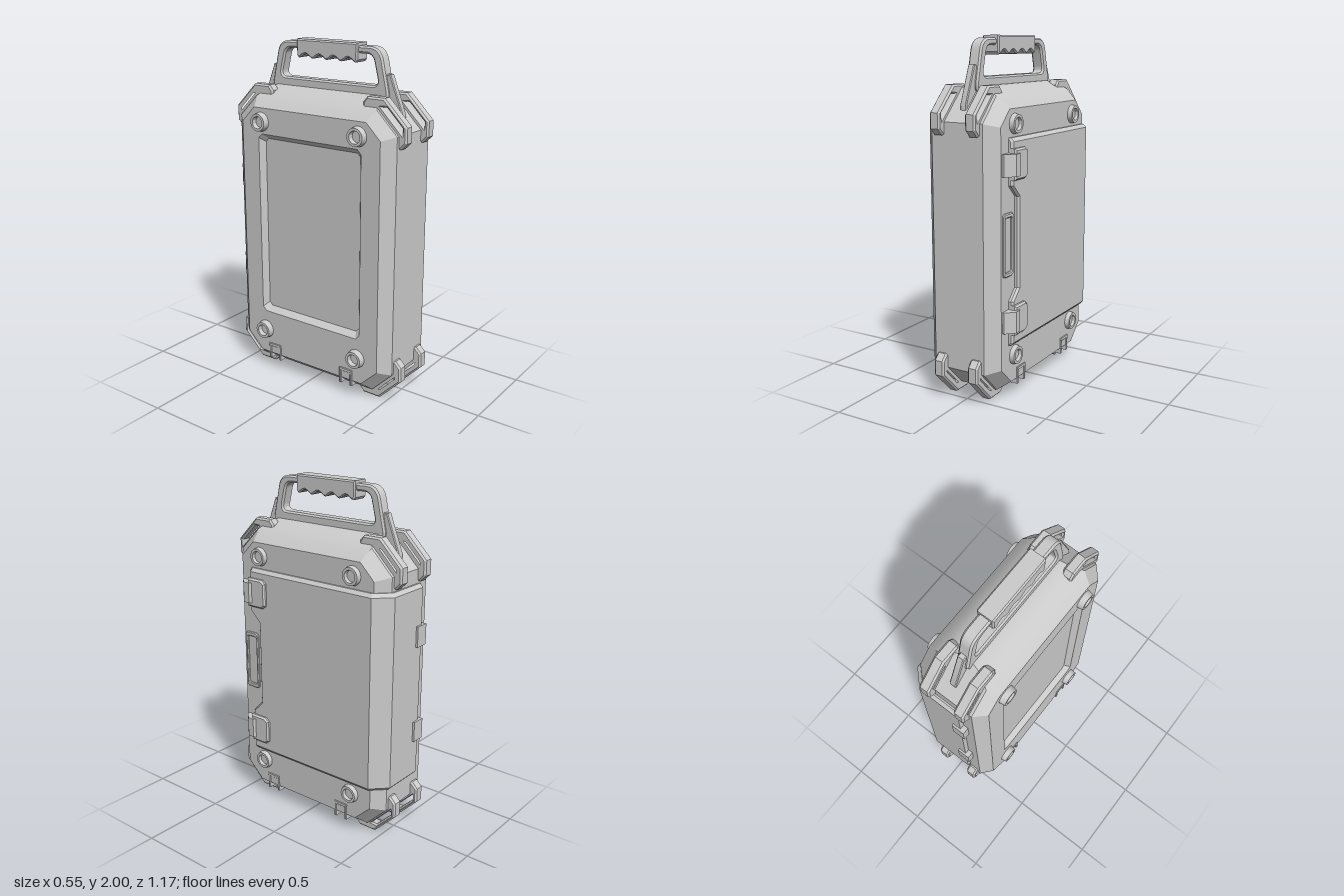
import * as THREE from 'three';
import { toCreasedNormals } from 'three/addons/utils/BufferGeometryUtils.js';

const material = new THREE.MeshStandardMaterial({ color: 0xcccccc });

// Closed solid through rings of [x, y, z]; flat2D projects a ring for its end caps
function loft(rings, flat2D, crease = 0.5) {
  const n = rings[0].length;
  const idx = [];
  for (let r = 0; r < rings.length - 1; r++) {
    for (let i = 0; i < n; i++) {
      const a = r * n + i, b = r * n + (i + 1) % n;
      idx.push(a, b, b + n, a, b + n, a + n);
    }
  }
  const cap = (ring, offset, sign) => {
    const pts = ring.map((p) => new THREE.Vector2(...flat2D(p)));
    const up = THREE.ShapeUtils.area(pts) * sign > 0;
    for (const [a, b, c] of THREE.ShapeUtils.triangulateShape(pts, [])) {
      const ccw = THREE.ShapeUtils.area([pts[a], pts[b], pts[c]]) * THREE.ShapeUtils.area(pts) > 0;
      const flip = (sign > 0) === ccw;
      idx.push(offset + a, offset + (flip ? c : b), offset + (flip ? b : c));
    }
    return up;
  };
  cap(rings[0], 0, 1);
  cap(rings[rings.length - 1], (rings.length - 1) * n, -1);

  // Turn the faces outward if the enclosed volume comes out negative
  const v = rings.flat().map((p) => new THREE.Vector3(...p));
  let volume = 0;
  for (let i = 0; i < idx.length; i += 3) {
    volume += v[idx[i]].dot(v[idx[i + 1]].clone().cross(v[idx[i + 2]]));
  }
  if (volume < 0) idx.reverse();
  const g = new THREE.BufferGeometry().setFromPoints(v);
  g.setIndex(idx);
  return toCreasedNormals(g, crease);
}

const polygon = (pts, Kind = THREE.Shape) => new Kind(pts.map((p) => new THREE.Vector2(...p)));

// Outline drawn in (z, y) and given thickness from x0 to x1
function plate(shape, x0, x1, bevel = 0.008) {
  const depth = x1 - x0 - 2 * bevel;
  const g = new THREE.ExtrudeGeometry(shape, {
    depth, bevelSize: bevel, bevelThickness: bevel, bevelOffset: -bevel, bevelSegments: 1, curveSegments: 8,
  });
  g.translate(0, 0, -depth / 2).rotateY(-Math.PI / 2).translate((x0 + x1) / 2, 0, 0);
  return toCreasedNormals(g, 0.5);
}

// Rounded outline through corner points
function rounded(pts, radius, Kind = THREE.Shape) {
  const s = new Kind();
  const v = pts.map((p) => new THREE.Vector2(...p));
  v.forEach((p, i) => {
    const toward = (q) => p.clone().add(q.clone().sub(p).setLength(radius));
    const a = toward(v[(i + v.length - 1) % v.length]);
    const b = toward(v[(i + 1) % v.length]);
    if (i) s.lineTo(a.x, a.y); else s.moveTo(a.x, a.y);
    s.quadraticCurveTo(p.x, p.y, b.x, b.y);
  });
  s.closePath();
  return s;
}

const rect = (z0, z1, y0, y1) => [[z0, y0], [z1, y0], [z1, y1], [z0, y1]];

export function createModel() {
  const model = new THREE.Group();
  const add = (name, geometry) => {
    const mesh = new THREE.Mesh(geometry, material);
    mesh.name = name;
    model.add(mesh);
    return mesh;
  };

  // Case body: eight-sided sections along x, domed on top, recessed on the right side
  const octagon = (x, zs, zb, zt, yb, yl, yu, yt) =>
    [[zs, yl], [zs, yu], [zt, yt], [-zt, yt], [-zs, yu], [-zs, yl], [-zb, yb], [zb, yb]].map(([z, y]) => [x, y, z]);
  const section = (x) => {
    const b = Math.max((-0.18 - x) / 0.06, (x - 0.14) / 0.07, 0);
    const zs = 0.54 - 0.065 * b, yu = 1.55 - 0.02 * b;
    const yt = 1.62 + 0.115 * (1 - Math.abs((x + 0.015) / 0.225) ** 2.2);
    return octagon(x, zs, 0.41 - 0.04 * b, zs - (yt - yu), 0.05 + 0.05 * b, 0.18 + 0.02 * b, yu, yt);
  };
  const levels = [-0.24, -0.21, -0.18, -0.14, -0.1, -0.06, -0.015, 0.03, 0.07, 0.11, 0.14, 0.175, 0.21];
  add('caseBody', loft([
    octagon(-0.205, 0.33, 0.31, 0.31, 0.4, 0.42, 1.42, 1.44),
    octagon(-0.24, 0.355, 0.33, 0.33, 0.37, 0.395, 1.445, 1.47),
    ...levels.map(section),
  ], ([, y, z]) => [z, y], 0.4));

  // Door wrapping round the rear edge, its front edge notched
  const doorRing = (y, zf, i) => [
    [0.19, zf], [0.225 - i, zf], [0.238 - i, zf - 0.013], [0.238 - i, -0.48 + i / 2],
    [0.15 - i / 2, -0.568 + i], [-0.11, -0.568 + i], [-0.11, -0.5], [0.12, -0.5], [0.19, -0.43],
  ].map(([x, z]) => [x, y, z]);
  add('door', loft([
    [0.32, 0.4, 0.018], [0.34, 0.4, 0], [0.575, 0.4, 0], [0.64, 0.335, 0],
    [1.15, 0.335, 0], [1.215, 0.4, 0], [1.45, 0.4, 0], [1.47, 0.4, 0.018],
  ].map((s) => doorRing(...s)), ([x, , z]) => [x, z], 0.3));

  // Hinges on the rear
  for (const y of [0.61, 1.18]) {
    const hinge = add('hinge', new THREE.BoxGeometry(0.08, 0.12, 0.05));
    hinge.position.set(-0.1, y, -0.555);
  }

  // Latches: chamfered base and a sloping lever
  for (const y of [0.47, 1.33]) {
    add('latchBase', plate(polygon([
      [0.4, y - 0.085], [0.4, y + 0.085], [0.29, y + 0.085], [0.265, y + 0.065], [0.265, y - 0.065], [0.29, y - 0.085],
    ]), 0.2, 0.258, 0.01));
    const lever = (h) => [[0.2, 0.465], [0.222, 0.465], [0.27, 0.415], [0.27, 0.375], [0.25, 0.355], [0.2, 0.355]]
      .map(([x, z]) => [x, y + h, z]);
    add('latchLever', loft([lever(-0.06), lever(0.06)], ([x, , z]) => [x, z]));
  }

  // Finger grip frame beside the door
  const frame = rounded(rect(0.362, 0.46, 0.72, 1.07), 0.02);
  frame.holes.push(rounded(rect(0.378, 0.444, 0.745, 1.045), 0.015, THREE.Path));
  add('gripFrame', plate(frame, 0.2, 0.222, 0.005));

  // Round studs near the corners of both sides
  for (const side of [-1, 1]) {
    const h = side < 0 ? 0.035 : 0.026;
    const profile = [[0.057, -0.01], [0.05, h], [0.035, h], [0.031, 0.008], [0, 0.008]];
    const stud = new THREE.LatheGeometry(profile.map((p) => new THREE.Vector2(...p)), 28);
    const geometry = toCreasedNormals(stud, 0.5);
    for (const y of [0.25, 1.54]) {
      for (const z of [-0.335, 0.335]) {
        const mesh = add('stud', geometry);
        mesh.rotation.z = -side * Math.PI / 2;
        mesh.position.set(side < 0 ? -0.24 : 0.21, y, z);
      }
    }
  }

  // Slotted corner guards, two at each corner
  const guard = [[0.52, 0.26], [0.55, 0.26], [0.585, 0.225], [0.585, 0.14], [0.445, 0], [0.335, 0], [0.31, 0.03],
    [0.31, 0.06], [0.4, 0.08], [0.51, 0.19]];
  const slot = [[0.557, 0.18], [0.557, 0.145], [0.46, 0.048], [0.425, 0.048]];
  for (const x of [-0.132, 0.09]) {
    for (const sz of [-1, 1]) {
      for (const top of [false, true]) {
        const place = ([z, y]) => [z * sz, top ? 1.74 - y : y];
        const shape = polygon(guard.map(place));
        shape.holes.push(polygon(slot.map(place), THREE.Path));
        add('cornerGuard', plate(shape, x - 0.032, x + 0.032, 0.01));
      }
    }
  }

  // Clips along the lower edges
  for (const sz of [-1, 1]) {
    for (const [x0, x1] of [[0.13, 0.216], [-0.246, -0.17]]) {
      const clip = polygon([[0.31, 0.065], [0.31, 0.165], [0.22, 0.165], [0.22, 0.065], [0.235, 0.065],
        [0.235, 0.145], [0.295, 0.145], [0.295, 0.065]].map(([z, y]) => [z * sz, y]));
      add('lowerClip', plate(clip, x0, x1, 0.003));
    }
  }

  // Ears that hold the handle
  for (const sz of [-1, 1]) {
    const ear = [[0.48, 1.6], [0.48, 1.64], [0.4, 1.845], [0.365, 1.845], [0.33, 1.68]];
    add('handleEar', plate(polygon(ear.map(([z, y]) => [z * sz, y])), -0.038, 0.002, 0.005));
  }

  // Carrying handle and scalloped grip
  const loop = rounded([[-0.41, 1.69], [0.41, 1.69], [0.345, 1.985], [-0.345, 1.985]], 0.07);
  loop.holes.push(rounded([[-0.335, 1.78], [0.335, 1.78], [0.295, 1.945], [-0.295, 1.945]], 0.04, THREE.Path));
  add('handle', plate(loop, -0.055, 0.019, 0.01));
  const grip = [[-0.207, 2], [-0.207, 1.91]];
  for (let i = 0; i <= 40; i++) {
    const t = i / 40;
    grip.push([-0.195 + 0.39 * t, 1.907 - 0.012 * Math.cos(t * Math.PI * 8)]);
  }
  grip.push([0.207, 1.91], [0.207, 2]);
  add('grip', plate(polygon(grip), -0.07, 0.034, 0.008));

  return model;
}
